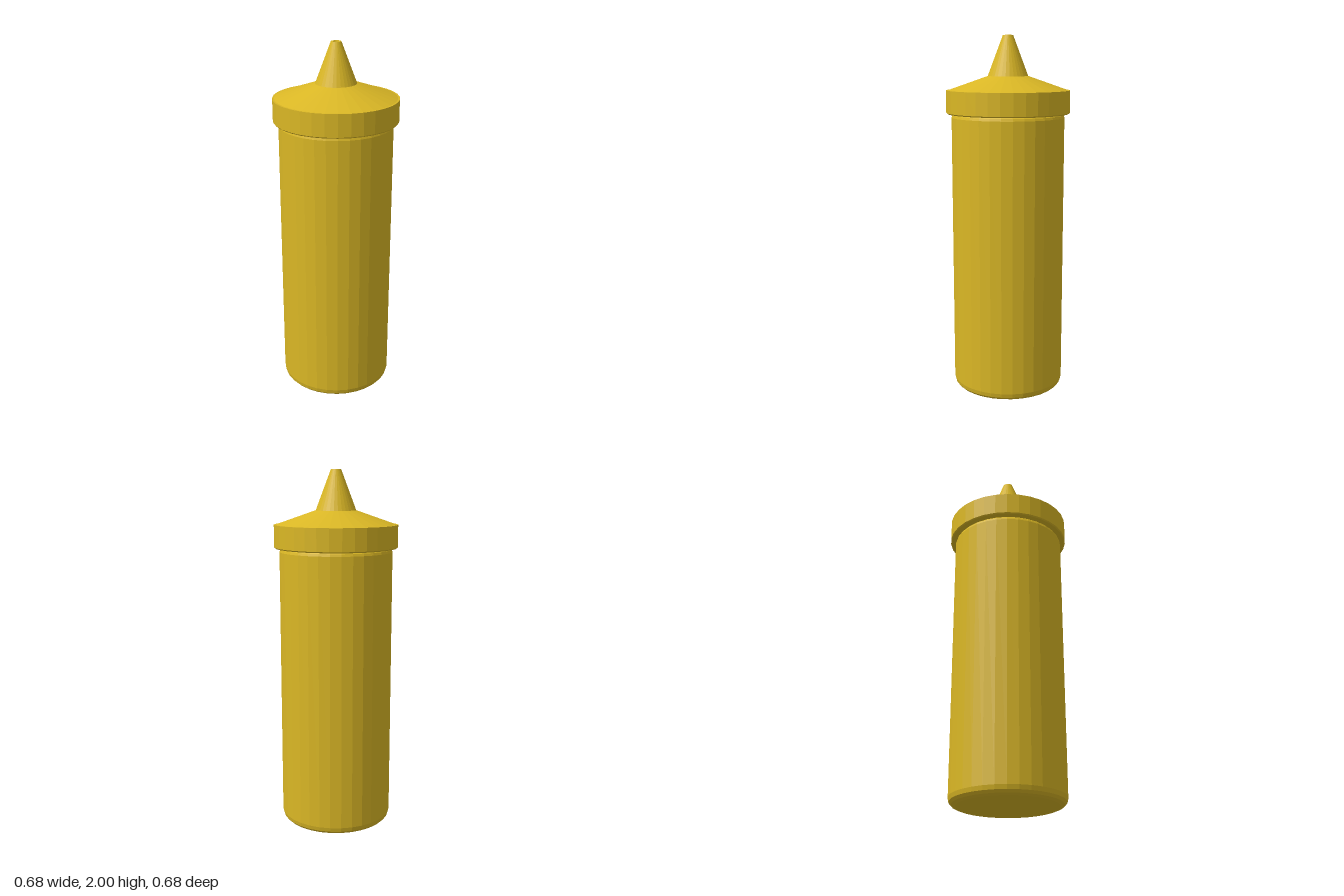
import * as THREE from 'three';

// Turn a profile of [radius, height] pairs, listed from bottom to top
function turned(name, profile, material) {
  const points = profile.map(([r, y]) => new THREE.Vector2(r, y));
  const mesh = new THREE.Mesh(new THREE.LatheGeometry(points, 32), material);
  mesh.name = name;
  return mesh;
}

export function createModel() {
  const mustard = new THREE.MeshStandardMaterial({ color: 0xdab725, flatShading: true });
  mustard.name = 'mustard yellow plastic';

  const bottle = new THREE.Group();
  bottle.name = 'squeezeBottle';

  // Cylindrical body with rounded foot and shoulder
  bottle.add(turned('body', [
    [0, 0], [0.275, 0], [0.295, 0.008], [0.308, 0.022], [0.313, 0.045],
    [0.313, 1.555], [0.309, 1.568], [0.298, 1.58], [0, 1.58],
  ], mustard));

  // Wide screw cap with a narrow flat rim and a sloping top
  bottle.add(turned('cap', [
    [0, 1.575], [0.336, 1.575], [0.342, 1.581], [0.342, 1.703],
    [0.332, 1.703], [0.112, 1.78], [0, 1.78],
  ], mustard));

  // Tapered nozzle with a small opening
  bottle.add(turned('nozzle', [
    [0.112, 1.779], [0.028, 2], [0.016, 2], [0.016, 1.96], [0, 1.96],
  ], mustard));

  return bottle;
}
